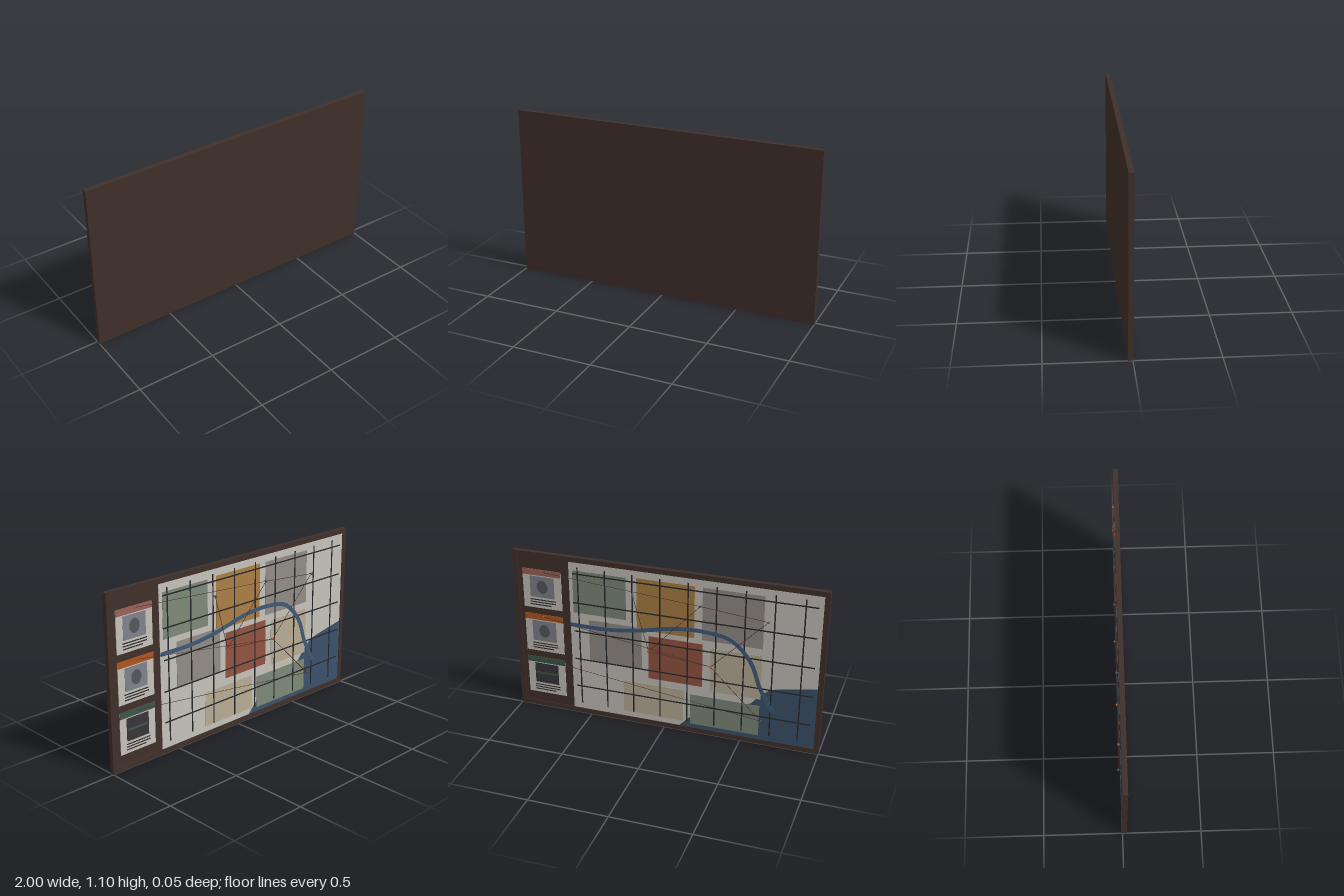
import * as THREE from 'three';

const mat = (color) => new THREE.MeshStandardMaterial({ color, roughness: 0.9 });

export function createModel() {
  const root = new THREE.Group();
  root.name = 'mapBoard';

  const add = (name, geo, color, parent = root) => {
    const m = new THREE.Mesh(geo, mat(color));
    m.name = name;
    parent.add(m);
    return m;
  };
  // thin block between two x, two y and two z values
  const slab = (name, color, x0, x1, y0, y1, z0, z1, parent) => {
    const m = add(name, new THREE.BoxGeometry(Math.abs(x1 - x0), Math.abs(y1 - y0), Math.abs(z1 - z0)), color, parent);
    m.position.set((x0 + x1) / 2, (y0 + y1) / 2, (z0 + z1) / 2);
    return m;
  };
  // flat outline extruded between two z values
  const plate = (name, color, pts, z0, z1) => {
    const shape = new THREE.Shape(pts.map(([x, y]) => new THREE.Vector2(x, y)));
    const g = new THREE.ExtrudeGeometry(shape, { depth: z1 - z0, bevelEnabled: false });
    return add(name, g.translate(0, 0, z0), color);
  };
  // straight thread between two points
  const thread = (name, a, b, r, color) => {
    const va = new THREE.Vector3(...a), vb = new THREE.Vector3(...b);
    const m = add(name, new THREE.CylinderGeometry(r, r, va.distanceTo(vb), 6), color);
    m.position.copy(va).lerp(vb, 0.5);
    m.quaternion.setFromUnitVectors(new THREE.Vector3(0, 1, 0), vb.sub(va).normalize());
  };

  // backing panel and raised frame; the decorated side faces -z
  const brown = 0x40302a;
  slab('backingPanel', brown, -0.98, 0.98, 0.02, 1.08, 0.003, 0.027);
  const W = 0.032;
  slab('frameTop', brown, -1, 1, 1.1 - W, 1.1, -0.003, 0.027);
  slab('frameBottom', brown, -1, 1, 0, W, -0.003, 0.027);
  for (const s of [-1, 1]) slab('frameSide', brown, s * (1 - W), s, W, 1.1 - W, -0.003, 0.027);

  // map sheet
  slab('mapSheet', 0xc6c2bb, -0.968, 0.625, W, 1.1 - W, 0.0015, 0.004);

  // bay in the lower corner
  plate('bay', 0x3c526b, [[-0.1, W], [-0.17, 0.107], [-0.36, 0.21], [-0.56, 0.28], [-0.61, 0.34],
    [-0.678, 0.4], [-0.8, 0.425], [-0.968, 0.455], [-0.968, W]], 0.0005, 0.003);

  // districts: colour, x range, y range
  [
    [0x7e8a79, 0.25, 0.6, 0.726, 1.013],
    [0xab7f43, -0.19, 0.18, 0.674, 1.02],
    [0x948d87, -0.62, -0.24, 0.67, 1.02],
    [0x948d87, 0.15, 0.5, 0.394, 0.687],
    [0x945441, -0.245, 0.105, 0.341, 0.639],
    [0xb9ad95, -0.62, -0.295, 0.32, 0.623],
    [0xb9ad95, -0.125, 0.275, 0.07, 0.295],
    [0x7e8a79, -0.615, -0.17, 0.06, 0.273],
  ].forEach(([c, ...r]) => slab('district', c, ...r, -0.001, 0.002));

  // streets
  const street = 0x26282a;
  for (let i = 0; i < 9; i++) {
    const x = 0.565 - i * 0.1785;
    slab('streetVertical', street, x - 0.004, x + 0.004, 0.073, 1.038, -0.004, -0.001);
  }
  for (let i = 0; i < 5; i++) {
    const y = 0.2 + i * 0.198;
    slab('streetHorizontal', street, -0.94, 0.6, y - 0.004, y + 0.004, -0.0038, -0.001);
  }

  // river: ribbon of constant width along a curve
  const path = new THREE.CatmullRomCurve3([[0.624, 0.64], [0.4, 0.64], [0.197, 0.663], [-0.073, 0.72], [-0.262, 0.728],
    [-0.424, 0.697], [-0.549, 0.57], [-0.614, 0.4], [-0.695, 0.25]].map(([x, y]) => new THREE.Vector3(x, y, 0)));
  const left = [], right = [], n = 40, half = 0.013;
  for (let i = 0; i <= n; i++) {
    const p = path.getPointAt(i / n), t = path.getTangentAt(i / n);
    left.push([p.x - t.y * half, p.y + t.x * half]);
    right.unshift([p.x + t.y * half, p.y - t.x * half]);
  }
  plate('river', 0x3f5a7a, [...left, ...right], -0.0046, -0.001);

  // pins with round heads
  const pin = (name, x, y, z, r, color) => {
    add(name, new THREE.SphereGeometry(r, 12, 8), color).position.set(x, y, z);
    thread(name + 'Shaft', [x, y, z], [x, y, 0.002], r * 0.3, 0x555555);
  };

  // info cards in the side column
  const rose = 0x9a6258, orange = 0xb0561f, green = 0x3d5647;
  [rose, orange, green].forEach((color, i) => {
    const card = new THREE.Group();
    card.name = 'infoCard';
    card.position.y = -0.31 * i;
    root.add(card);
    slab('cardSheet', 0xc6c2bb, 0.678, 0.938, 0.72, 0.98, -0.0005, 0.004, card);
    slab('cardHeader', color, 0.678, 0.938, 0.945, 0.985, -0.002, 0.002, card);
    slab('photo', i < 2 ? 0x80838a : 0x38353a, 0.727, 0.89, 0.795, 0.938, -0.002, 0.002, card);
    if (i < 2) {
      const disc = add('photoDisc', new THREE.CylinderGeometry(0.036, 0.036, 0.004, 24).rotateX(Math.PI / 2), 0x54575c, card);
      disc.scale.y = 1.25;
      disc.position.set(0.808, 0.868, -0.0015);
    } else slab('photoBar', green, 0.737, 0.88, 0.86, 0.874, -0.0035, 0.001, card);
    for (let k = 0; k < 3; k++) {
      const y = 0.777 - k * 0.017;
      slab('ruledLine', 0x303030, 0.72 + (k === 2 ? 0.03 : 0), 0.895, y - 0.0035, y + 0.0035, -0.002, 0.001, card);
    }
    pin('cardPin', 0.808, 0.975 - 0.31 * i, -0.009, 0.006, color);
  });

  // map pins
  const pins = [[0.2, 0.9, 0x46524f], [-0.23, 0.9, 0x46524f], [-0.65, 0.86, 0x7c5850], [0.1, 0.54, orange],
    [-0.3, 0.5, orange], [-0.63, 0.175, 0x46524f]];
  pins.forEach(([x, y, c]) => pin('mapPin', x, y, -0.017, 0.008, c));

  // strings between pins, and from cards to pins
  const at = (i) => [pins[i][0], pins[i][1], -0.014];
  [[0, 3], [1, 3], [1, 2], [3, 4], [4, 2], [4, 5]].forEach(([a, b]) => thread('string', at(a), at(b), 0.0016, 0x4a2c28));
  [[0, 1], [1, 4], [2, 5]].forEach(([c, p]) => thread('cardString', [0.808, 0.975 - 0.31 * c, -0.01], at(p), 0.0014, 0x4a2c28));

  return root;
}
